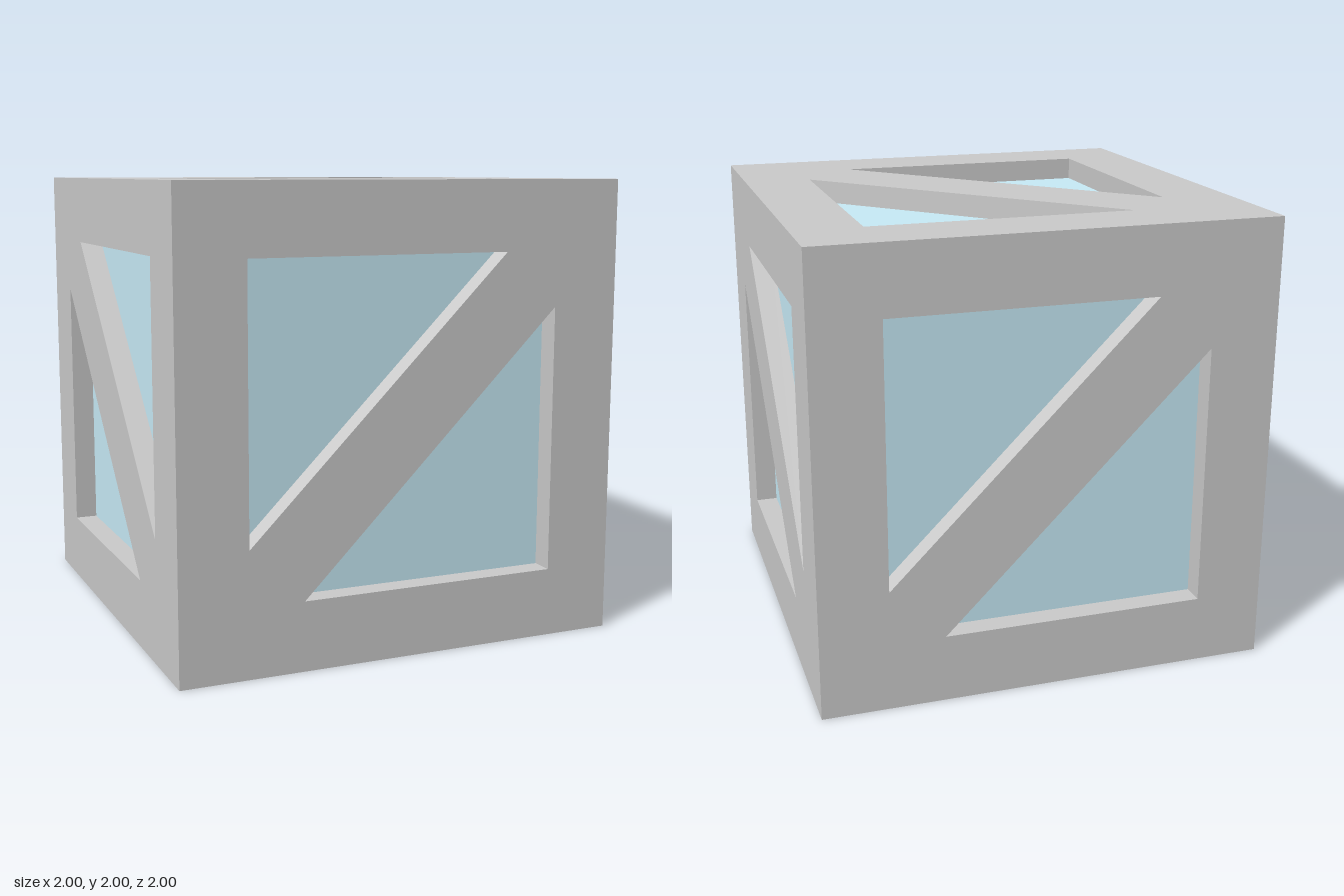
import * as THREE from 'three';

const HALF = 1;        // half the cube's side
const RECESS = 0.1;    // depth of the panels below the frame
const RIM = 0.7;       // inner edge of the border
const TIP = 0.46;      // where the diagonal brace meets the border

// One square face with two triangular windows and a brace from (-,-) to (+,+)
function faceGeometry() {
  const square = [[-HALF, -HALF], [HALF, -HALF], [HALF, HALF], [-HALF, HALF]];
  const shape = new THREE.Shape(square.map(([x, y]) => new THREE.Vector2(x, y)));
  for (const s of [1, -1]) {
    const corners = [[-RIM, RIM], [TIP, RIM], [-RIM, -TIP]];
    shape.holes.push(new THREE.Path(corners.map(([x, y]) => new THREE.Vector2(s * x, s * y))));
  }
  const geometry = new THREE.ExtrudeGeometry(shape, { depth: RECESS, bevelEnabled: false });
  geometry.translate(0, 0, HALF - RECESS);

  // Mitre the outer edges so that neighbouring faces meet cleanly
  const pos = geometry.attributes.position;
  const inner = HALF - RECESS;
  for (let i = 0; i < pos.count; i++) {
    if (pos.getZ(i) > HALF - RECESS / 2) continue;
    pos.setX(i, THREE.MathUtils.clamp(pos.getX(i), -inner, inner));
    pos.setY(i, THREE.MathUtils.clamp(pos.getY(i), -inner, inner));
  }
  geometry.computeVertexNormals();
  return geometry;
}

export function createModel() {
  const model = new THREE.Group();
  model.name = 'bracedCube';
  const frameMaterial = new THREE.MeshStandardMaterial({ color: 0xcccccc });
  const panelMaterial = new THREE.MeshStandardMaterial({ color: 0xc8ecf8 });

  // Frame faces; the braces join four alternate corners of the cube
  const q = Math.PI / 2;
  const faces = {
    frontFrame: [0, 0, 0],
    backFrame: [0, 2 * q, 0],
    leftFrame: [0, q, q],
    rightFrame: [0, -q, q],
    topFrame: [-q, 0, q],
    bottomFrame: [q, 0, q],
  };
  const geometry = faceGeometry();
  for (const [name, rotation] of Object.entries(faces)) {
    const face = new THREE.Mesh(geometry, frameMaterial);
    face.name = name;
    face.rotation.set(...rotation);
    face.position.y = HALF;
    model.add(face);
  }

  // Blue inner cube seen through the windows
  const side = 2 * (HALF - RECESS);
  const panels = new THREE.Mesh(new THREE.BoxGeometry(side, side, side), panelMaterial);
  panels.name = 'windowPanels';
  panels.position.y = HALF;
  model.add(panels);

  return model;
}
